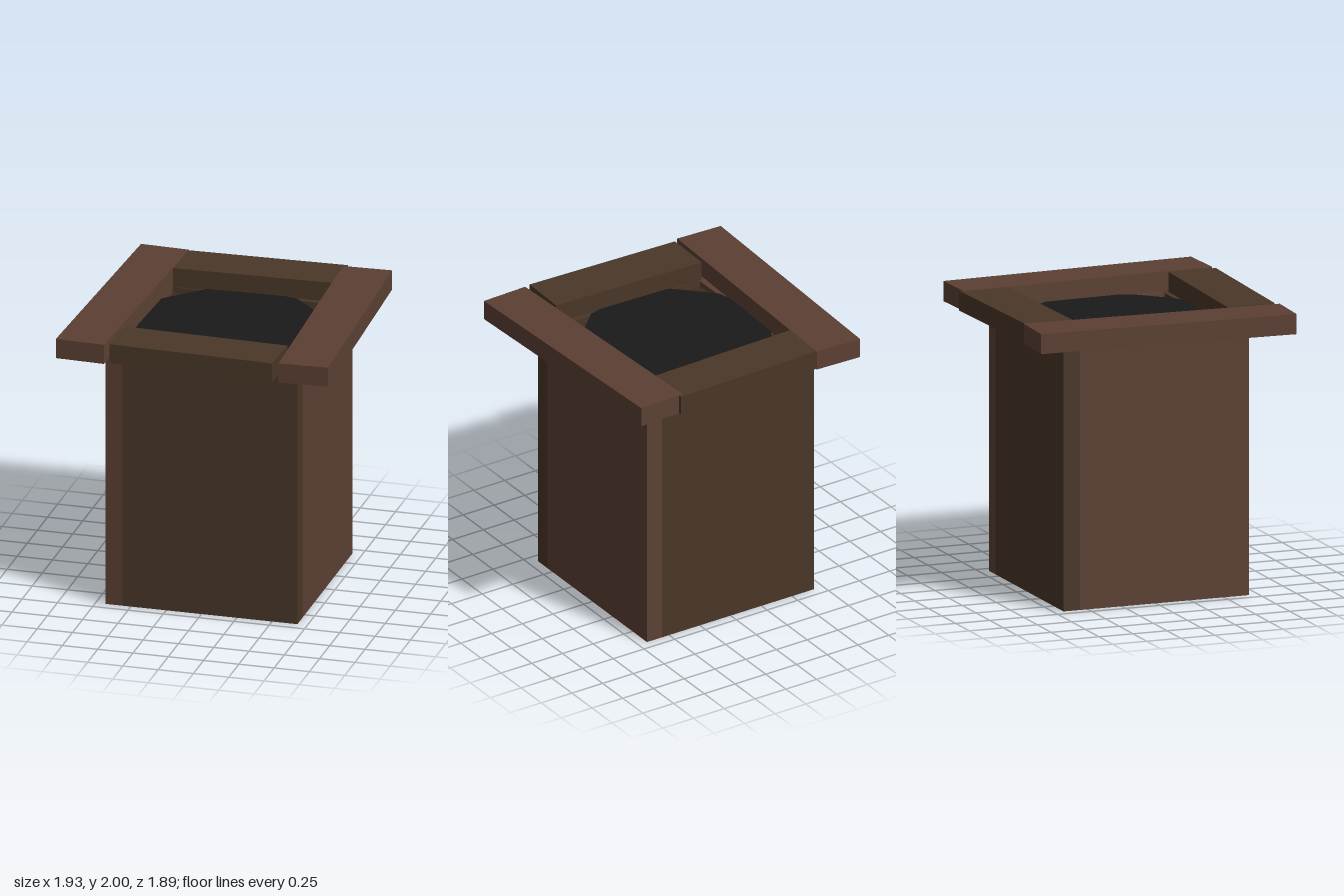
import * as THREE from 'three';

export function createModel() {
  const model = new THREE.Group();
  const mat = (color) => new THREE.MeshStandardMaterial({ color, flatShading: true });
  const darkWood = mat(0x4a3728), lightWood = mat(0x5c4033);
  const coreWood = mat(0x3d2b1f), black = mat(0x1a1a1a);

  const add = (name, geometry, material, x, y, z, turn = 0) => {
    const mesh = new THREE.Mesh(geometry, material);
    mesh.name = name;
    mesh.position.set(x, y, z);
    mesh.rotation.y = turn;
    model.add(mesh);
  };

  const OUT = 0.68, T = 0.12, WALL_H = 1.86, RIM_H = 0.14;

  // Four walls, each butting against the next around the box
  const wallGeo = new THREE.BoxGeometry(2 * OUT - T, WALL_H, T);
  ['frontWall', 'leftWall', 'backWall', 'rightWall'].forEach((name, i) => {
    const turn = i * Math.PI / 2;
    const p = new THREE.Vector3(T / 2, WALL_H / 2, OUT - T / 2)
      .applyAxisAngle(new THREE.Vector3(0, 1, 0), turn);
    add(name, wallGeo, i % 2 ? lightWood : darkWood, p.x, p.y, p.z, turn);
  });

  // Dark core filling the box, just short of the wall edges
  const inner = 2 * (OUT - T);
  add('core', new THREE.BoxGeometry(inner, WALL_H - 0.05, inner), coreWood, 0, WALL_H / 2 - 0.02, 0);

  // Twelve-sided dark surface in the opening
  add('openingDisc', new THREE.CylinderGeometry(0.65, 0.65, 0.02, 12), black, 0, WALL_H, 0);

  // Slightly crooked rim planks
  const rimY = WALL_H + RIM_H / 2;
  const sideGeo = new THREE.BoxGeometry(0.345, RIM_H, 1.85);
  const endGeo = new THREE.BoxGeometry(1.16, RIM_H - 0.002, 0.345);
  for (const s of [-1, 1]) {
    add(s > 0 ? 'leftRimPlank' : 'rightRimPlank', sideGeo, lightWood, s * 0.754, rimY, 0, s * 0.04);
    add(s > 0 ? 'frontRimPlank' : 'backRimPlank', endGeo, darkWood, 0, rimY, s * 0.753, -s * 0.03);
  }

  return model;
}
